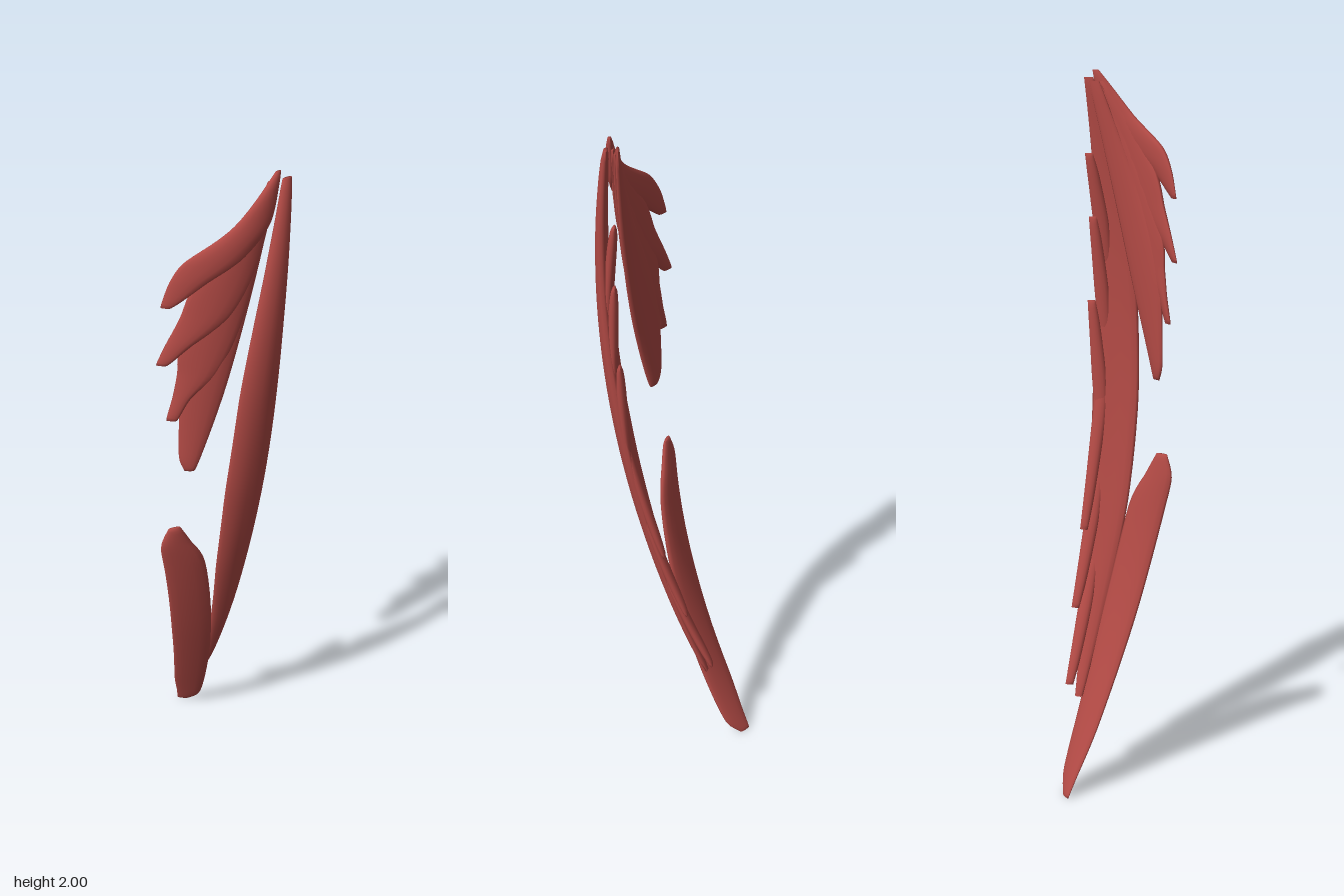
import * as THREE from 'three';

const SIDES = 14, STEPS = 6;

// Depth of the curved spine that every part follows
const spine = y => 0.195 - 0.152 * (y - 1.6) ** 2;

// Lofts a thin blade from rows [y, left x, right x], top to bottom,
// laid on the surface z = depth(x, y) and thinned towards both ends
function blade(name, material, rows, thickness, depth) {
  const outline = new THREE.CatmullRomCurve3(rows.map(r => new THREE.Vector3(...r)), false, 'catmullrom', 0.4);
  const count = (rows.length - 1) * STEPS, last = count * SIDES;
  const pos = [], index = [];
  for (let i = 0; i <= count; i++) {
    const { x: y, y: x0, z: x1 } = outline.getPoint(i / count);
    const thick = thickness * (0.3 + 0.7 * Math.sqrt(Math.max(0, Math.sin(Math.PI * i / count))));
    for (let j = 0; j < SIDES; j++) {
      const a = (j / SIDES) * Math.PI * 2;
      const x = (x0 + x1) / 2 + Math.cos(a) * (x1 - x0) / 2;
      pos.push(x, y, depth(x, y) + thick * Math.sin(a));
      if (i < count) {
        const p = i * SIDES + j, q = i * SIDES + (j + 1) % SIDES;
        index.push(p, q, p + SIDES, q, q + SIDES, p + SIDES);
      }
    }
  }
  // end caps
  for (let j = 1; j < SIDES - 1; j++) {
    index.push(0, j + 1, j, last, last + j, last + j + 1);
  }
  const geo = new THREE.BufferGeometry();
  geo.setAttribute('position', new THREE.Float32BufferAttribute(pos, 3));
  geo.setIndex(index);
  geo.computeVertexNormals();
  const mesh = new THREE.Mesh(geo, material);
  mesh.name = name;
  return mesh;
}

// Short barb on the left edge, growing from a buried root to a flared, blunt tip
function barb(name, material, rootY, tipY, tipX) {
  const rows = [0, 0.4, 0.8, 1].map(t => [
    THREE.MathUtils.lerp(rootY, tipY, t),
    0.075 + (tipX - 0.098) * t * t,
    THREE.MathUtils.lerp(0.108, tipX, t ** 0.7),
  ]);
  if (tipY > rootY) rows.reverse();
  return blade(name, material, rows, 0.013,
    (x, y) => spine(y) - 0.008 - 0.024 * (y - rootY) / (tipY - rootY));
}

export function createModel() {
  const model = new THREE.Group();
  model.name = 'feather';
  const red = new THREE.MeshStandardMaterial({ color: 0xb24a45 });
  red.name = 'feather red';

  // long central blade, bowed across its width
  model.add(blade('mainBlade', red, [
    [1.98, 0.125, 0.152], [1.8, 0.078, 0.138], [1.6, 0.032, 0.126], [1.4, 0, 0.122],
    [1.1, -0.015, 0.121], [0.8, 0, 0.115], [0.5, 0.045, 0.111], [0.26, 0.085, 0.108],
  ], 0.019, (x, y) => spine(y) - 3 * (x - 0.05 - 0.1 * (y - 1) ** 2) ** 2));

  // lower blade behind the tip of the main one, twisting towards its foot
  model.add(blade('lowerBlade', red, [
    [0.962, -0.128, -0.095], [0.9, -0.145, -0.062], [0.8, -0.126, -0.012], [0.5, -0.06, 0.05],
    [0.2, 0.02, 0.102], [0.06, 0.068, 0.122], [0.005, 0.086, 0.11],
  ], 0.016, (x, y) => spine(y) - 0.085 * y * y - 0.007 + (x - 0.1 + 0.21 * y) / (1 + 2.5 * y)));

  // fan of four feathers swept back on the right, sharing one curved surface
  const fan = new THREE.Group();
  fan.name = 'featherFan';
  [
    [[2, 0.108, 0.125], [1.88, 0, 0.1], [1.8, -0.098, 0.03], [1.74, -0.13, -0.055], [1.668, -0.147, -0.128]],
    [[1.97, 0.09, 0.125], [1.75, -0.07, 0.06], [1.64, -0.108, 0], [1.56, -0.135, -0.085], [1.498, -0.154, -0.134]],
    [[1.96, 0.095, 0.125], [1.6, -0.092, 0.03], [1.47, -0.112, -0.03], [1.4, -0.12, -0.085], [1.328, -0.134, -0.113]],
    [[1.97, 0.1, 0.13], [1.6, -0.055, 0.042], [1.42, -0.1, -0.002], [1.22, -0.107, -0.058], [1.165, -0.096, -0.074]],
  ].forEach((rows, i) => fan.add(blade('fanFeather' + (i + 1), red, rows, 0.015,
    x => 0.144 + 0.4 * x - 1.9 * x * x - 0.006 * i)));
  model.add(fan);

  // barbs along the left edge: three point up, three point down
  const barbs = new THREE.Group();
  barbs.name = 'edgeBarbs';
  [[1.45, 1.775, 0.146], [1.25, 1.6, 0.137], [1.0, 1.365, 0.139],
    [1.2, 0.72, 0.13], [0.9, 0.505, 0.136], [0.65, 0.3, 0.131]]
    .forEach(([root, tip, x], i) => barbs.add(barb('edgeBarb' + (i + 1), red, root, tip, x)));
  model.add(barbs);

  return model;
}
